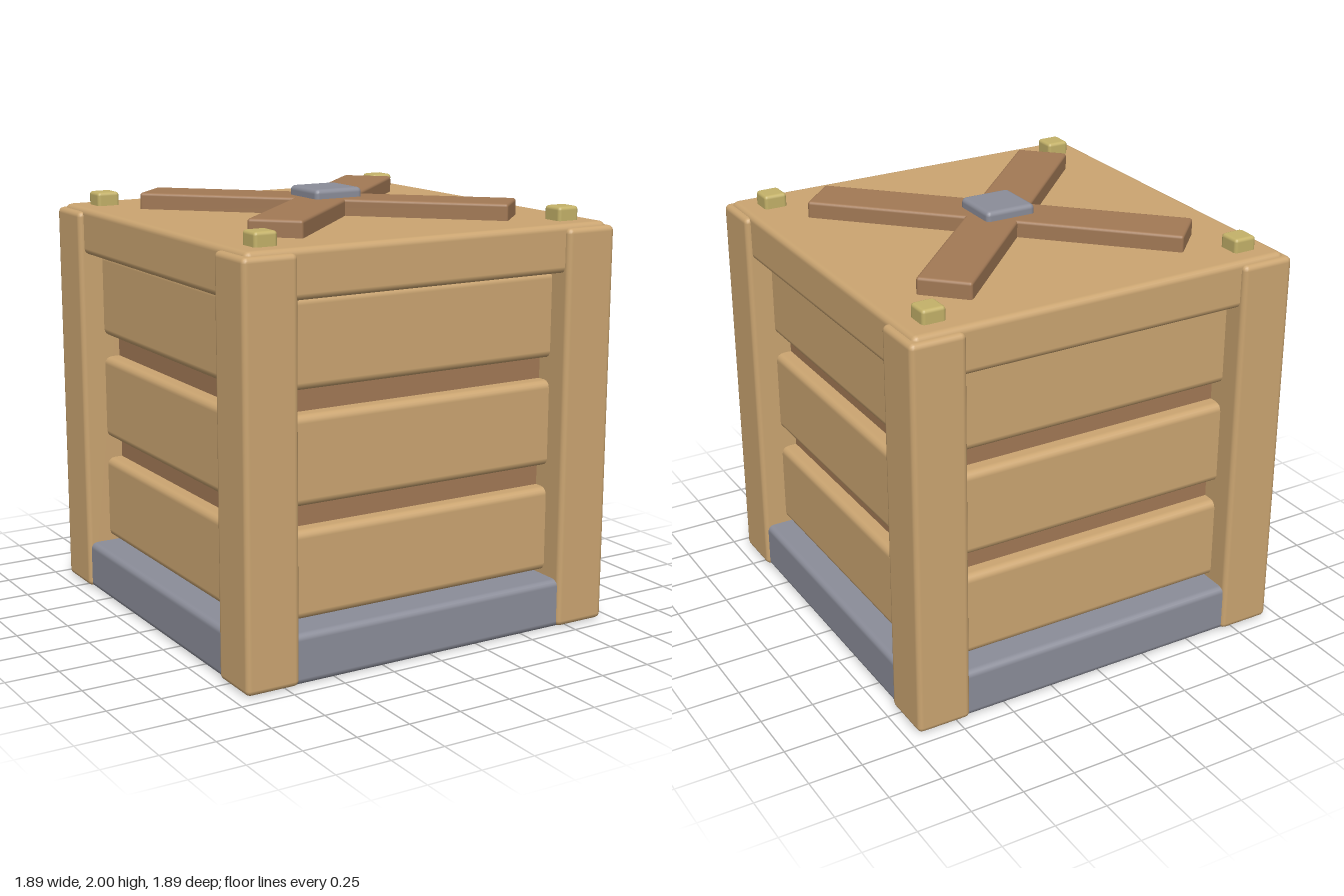
import * as THREE from 'three';
import { RoundedBoxGeometry } from 'three/addons/geometries/RoundedBoxGeometry.js';

function material(name, color) {
  const m = new THREE.MeshStandardMaterial({ color });
  m.name = name;
  return m;
}

export function createModel() {
  const crate = new THREE.Group();
  crate.name = 'crate';

  const wood = material('light wood', 0xcba571);
  const darkWood = material('dark wood', 0xa27955);
  const metal = material('grey metal', 0x8b8d99);
  const brass = material('brass', 0xc4b269);

  // Box with rounded edges, placed by its centre in x and z and its bottom and top in y
  function block(name, mat, w, d, y0, y1, radius, x = 0, z = 0, parent = crate) {
    const mesh = new THREE.Mesh(new RoundedBoxGeometry(w, y1 - y0, d, 2, radius), mat);
    mesh.name = name;
    mesh.position.set(x, (y0 + y1) / 2, z);
    parent.add(mesh);
    return mesh;
  }

  // Base, inner body and lid
  block('base', metal, 1.86, 1.86, 0, 0.23, 0.03);
  block('innerBody', darkWood, 1.51, 1.51, 0.15, 1.75, 0.01);
  block('lid', wood, 1.84, 1.84, 1.66, 1.88, 0.03);

  // Three boards on each of the four sides
  for (let side = 0; side < 4; side++) {
    const wall = new THREE.Group();
    wall.name = 'sideBoards';
    wall.rotation.y = side * Math.PI / 2;
    for (const y of [0.25, 0.755, 1.26]) {
      block('board', wood, 1.56, 0.13, y, y + 0.4, 0.035, 0, 0.765, wall);
    }
    crate.add(wall);
  }

  // Corner posts, with a stud above each one
  for (const sx of [-1, 1]) {
    for (const sz of [-1, 1]) {
      block('cornerPost', wood, 0.258, 0.258, 0.005, 1.862, 0.025, sx * 0.816, sz * 0.816);
      block('stud', brass, 0.11, 0.11, 1.86, 1.943, 0.016, sx * 0.773, sz * 0.773);
    }
  }

  // Crossed boards on the lid and the plate at their centre
  for (const s of [-1, 1]) {
    const arm = block('crossBoard', darkWood, 1.74, 0.245, 1.865, 1.956, 0.014);
    arm.rotation.y = s * Math.PI / 4;
  }
  block('centrePlate', metal, 0.248, 0.248, 1.93, 2, 0.022);

  return crate;
}
